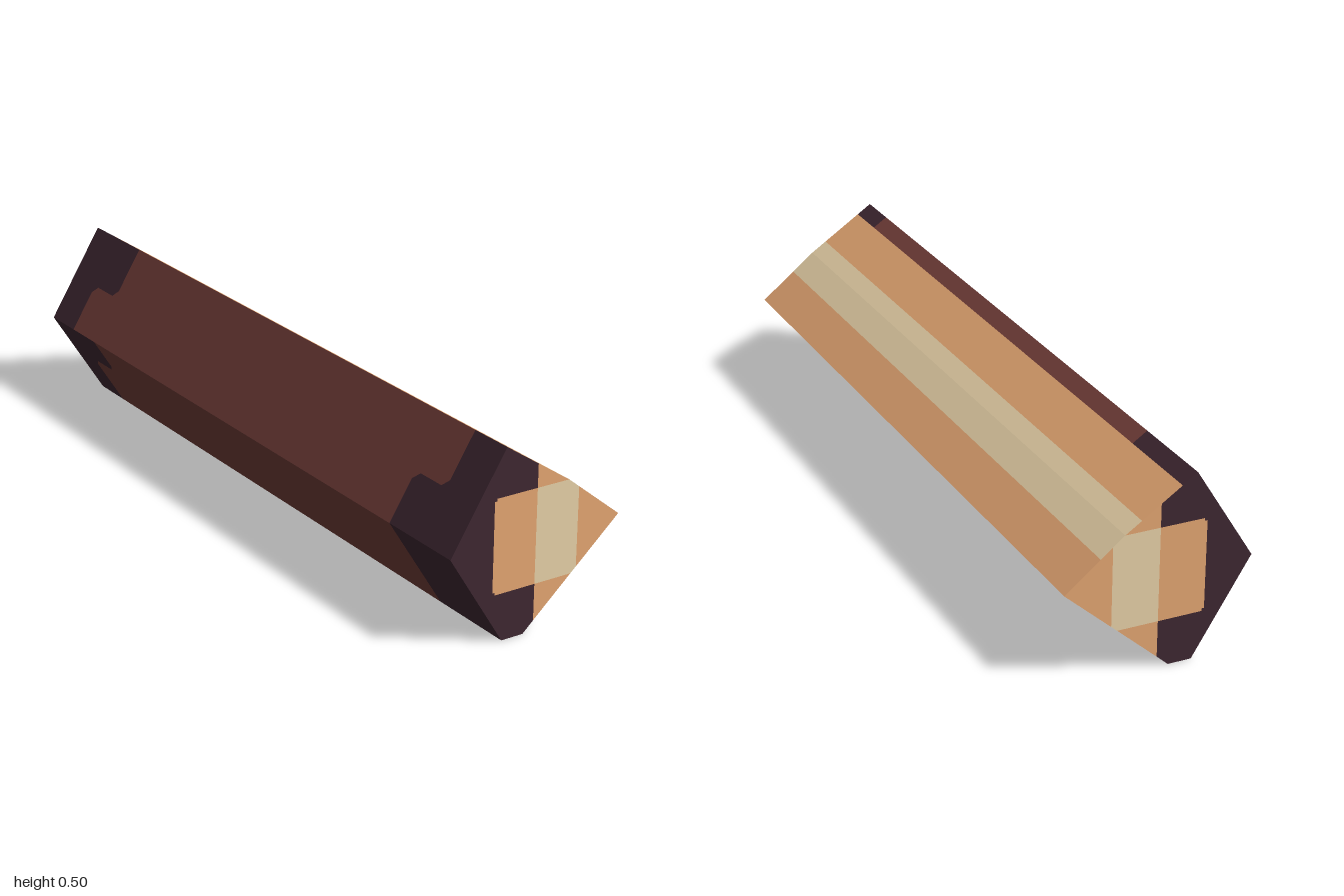
import * as THREE from 'three';

const mat = (name, color) => {
  const m = new THREE.MeshStandardMaterial({ color });
  m.name = name;
  return m;
};

export function createModel() {
  const log = new THREE.Group();
  log.name = 'splitLog';

  const darkBark = mat('darkBark', 0x3e2731);
  const bark = mat('bark', 0x733e39);
  const wood = mat('wood', 0xe4a672);
  const paleWood = mat('paleWood', 0xead4aa);

  // Cross-section corners, counterclockwise from the left
  const A = [-0.25, 0.25], B = [-0.094, 0], C = [-0.031, 0];
  const D = [0.25, 0.25], E = [0.094, 0.375], F = [-0.094, 0.5];

  const flat = (points) =>
    new THREE.ShapeGeometry(new THREE.Shape(points.map(([x, y]) => new THREE.Vector2(x, y))));

  const add = (name, geometry, material) => {
    geometry.computeVertexNormals();
    const mesh = new THREE.Mesh(geometry, material);
    mesh.name = name;
    log.add(mesh);
  };

  // Flat panel on the side from P to Q; points are (fraction along P-Q, z)
  const panel = (name, P, Q, points, material) => {
    const geometry = flat(points);
    const pos = geometry.attributes.position;
    for (let i = 0; i < pos.count; i++) {
      const t = pos.getX(i), z = pos.getY(i);
      pos.setXYZ(i, P[0] + (Q[0] - P[0]) * t, P[1] + (Q[1] - P[1]) * t, z);
    }
    add(name, geometry, material);
  };

  const strip = (name, P, Q, t0, t1, material) =>
    panel(name, P, Q, [[t0, -1], [t1, -1], [t1, 1], [t0, 1]], material);

  // Bark side with dark ends; edges are (fraction, depth of the dark end)
  const barkSide = (name, P, Q, front, back) => {
    const t0 = front[0][0], t1 = front[front.length - 1][0];
    const f = front.map(([t, d]) => [t, 1 - d]);
    const b = back.map(([t, d]) => [t, d - 1]);
    panel(name, P, Q, [...b, ...[...f].reverse()], bark);
    panel(name + 'FrontEnd', P, Q, [...f, [t1, 1], [t0, 1]], darkBark);
    panel(name + 'BackEnd', P, Q, [[t0, -1], [t1, -1], ...[...b].reverse()], darkBark);
  };

  // Step between two depths with small chamfers
  const step = (t, d0, d1) => {
    const c = Math.sign(d1 - d0) * 0.02;
    return [[0, d0], [t - 0.07, d0], [t, d0 + c], [t, d1 - c], [t + 0.07, d1], [1, d1]];
  };

  // Rounded bark sides
  barkSide('upperBark', F, A, step(0.52, 0.125, 0.25), step(0.52, 0.25, 0.125));
  barkSide('lowerBark', A, B, [[0, 0.25], [1, 0.25]], step(0.42, 0.25, 0.125));
  barkSide('bottomBark', B, C, [[0, 0.125], [1, 0.125]], [[0, 0.125], [1, 0.125]]);
  barkSide('topBarkLip', E, F, [[0.79, 0.125], [1, 0.125]], [[0.79, 0.25], [1, 0.25]]);

  // Split wood sides
  strip('lowerWoodInner', C, D, 0, 0.335, wood);
  strip('lowerPaleWood', C, D, 0.335, 0.67, paleWood);
  strip('lowerWoodOuter', C, D, 0.67, 1, wood);
  strip('upperWoodOuter', D, E, 0, 0.6, wood);
  strip('upperPaleWoodOuter', D, E, 0.6, 1, paleWood);
  strip('upperPaleWoodInner', E, F, 0, 0.23, paleWood);
  strip('upperWoodInner', E, F, 0.23, 0.79, wood);

  // Cut ends: bark rim, wood rings and pale core
  const core = [[0, 0.125], [-0.118, 0.125], [-0.118, 0.132], [-0.125, 0.132],
    [-0.125, 0.368], [-0.118, 0.368], [-0.118, 0.375], [0, 0.375]];
  const endParts = [
    ['BarkRim', [[0, 0.4375], F, A, B, C, [0, 0.028], ...core], darkBark],
    ['Wood', core, wood],
    ['UpperWood', [[0, 0.375], E, [0, 0.4375]], wood],
    ['LowerWood', [[0, 0.028], [0.109, 0.125], [0, 0.125]], wood],
    ['OuterWood', [[0.125, 0.139], D, [0.125, 0.35]], wood],
    ['PaleCore', [[0, 0.125], [0.109, 0.125], [0.125, 0.139], [0.125, 0.35], E, [0, 0.375]], paleWood],
  ];
  for (const side of [1, -1]) {
    for (const [name, points, material] of endParts) {
      const geometry = flat(points);
      if (side < 0) geometry.index.array.reverse();
      geometry.translate(0, 0, side);
      add((side > 0 ? 'front' : 'back') + name, geometry, material);
    }
  }
  return log;
}
